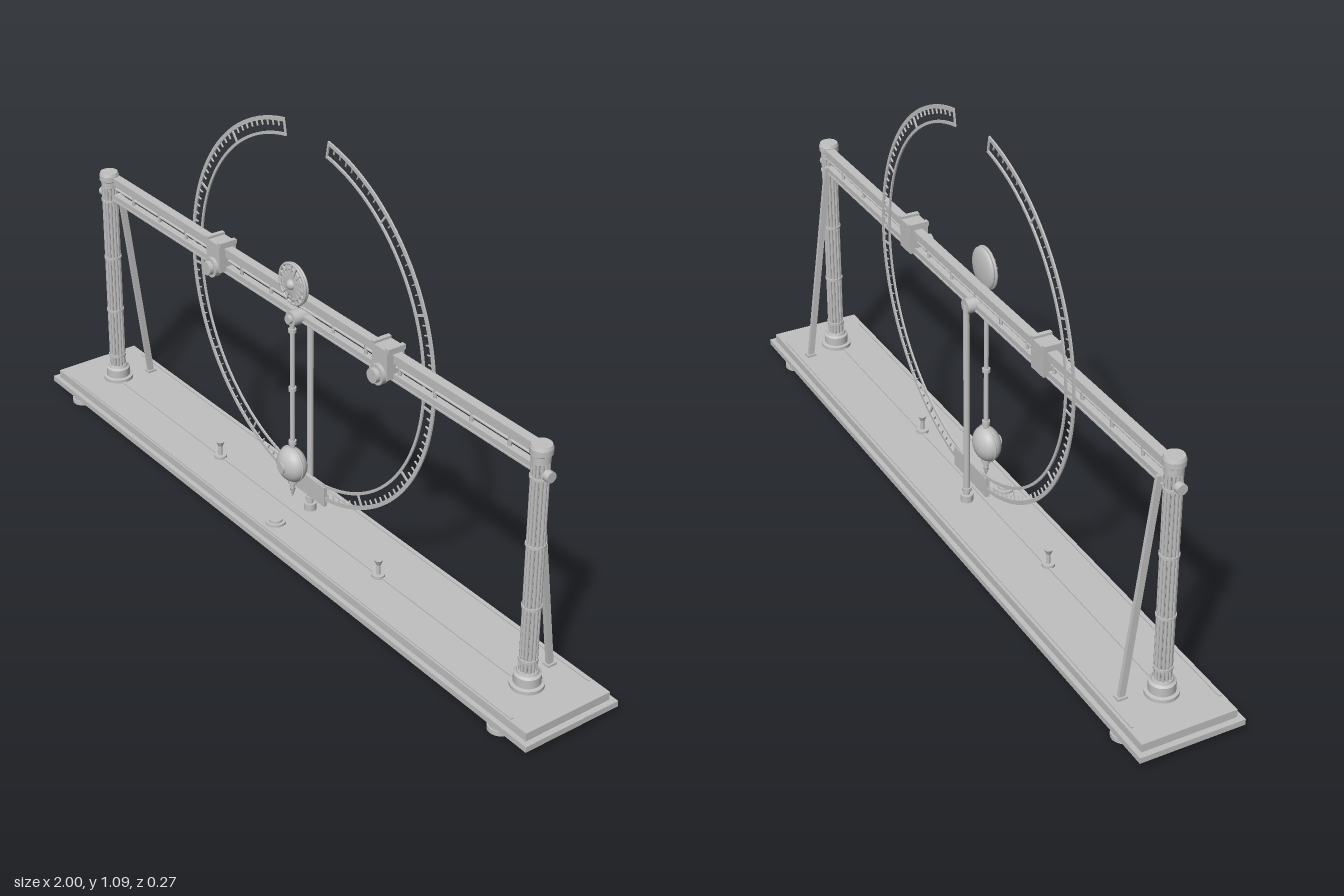
import * as THREE from 'three';

export function createModel() {
  const model = new THREE.Group();
  const metal = new THREE.MeshStandardMaterial({ color: 0xc0c0c0 });
  metal.name = 'brushed grey';

  const add = (name, geo, x = 0, y = 0, z = 0, parent = model) => {
    const m = new THREE.Mesh(geo, metal);
    m.name = name;
    m.position.set(x, y, z);
    parent.add(m);
    return m;
  };
  const box = (name, w, h, d, x, y, z, parent) => add(name, new THREE.BoxGeometry(w, h, d), x, y, z, parent);
  // Upright cylinder between two heights
  const post = (name, r, y0, y1, x, z, parent, seg = 24) =>
    add(name, new THREE.CylinderGeometry(r, r, y1 - y0, seg), x, (y0 + y1) / 2, z, parent);
  // Cylinder along z
  const disc = (name, r, z0, z1, x, y, parent) =>
    add(name, new THREE.CylinderGeometry(r, r, z1 - z0, 32).rotateX(Math.PI / 2), x, y, (z0 + z1) / 2, parent);
  // Cylinder along x
  const bar = (name, r, x0, x1, y, z, parent) =>
    add(name, new THREE.CylinderGeometry(r, r, x1 - x0, 16).rotateZ(Math.PI / 2), (x0 + x1) / 2, y, z, parent);

  // Stepped base with four feet
  box('basePlate', 2, 0.015, 0.27, 0, 0.0275, 0);
  box('plinth', 1.97, 0.021, 0.245, 0, 0.0455, 0);
  box('frontStrip', 1.86, 0.004, 0.008, 0, 0.057, 0.114);
  box('rearStrip', 1.86, 0.004, 0.006, 0, 0.057, -0.112);
  box('baseRail', 1.72, 0.004, 0.008, 0, 0.057, 0.015);
  for (const x of [-0.885, 0.885]) for (const z of [-0.105, 0.107]) {
    post('foot', 0.03, 0, 0.012, x, z);
    post('footCollar', 0.026, 0.012, 0.021, x, z);
  }

  // Fluted columns with rear struts
  for (const side of [-1, 1]) {
    const column = new THREE.Group();
    column.name = side > 0 ? 'leftColumn' : 'rightColumn';
    column.position.set(side * 0.857, 0, 0.008);
    model.add(column);
    const profile = [[0, 0.056], [0.04, 0.056], [0.04, 0.065], [0.032, 0.067], [0.032, 0.09], [0.026, 0.094],
      [0.024, 0.1], [0.017, 0.1], [0.017, 0.635], [0.022, 0.638], [0.022, 0.655], [0.026, 0.658],
      [0.026, 0.672], [0.023, 0.68], [0, 0.68]];
    // Each profile segment is its own band, so its edges stay crisp
    for (let i = 1; i < profile.length; i++)
      add('columnShaft', new THREE.LatheGeometry([profile[i - 1], profile[i]].map(p => new THREE.Vector2(...p)), 32), 0, 0, 0, column);
    for (let i = 0; i < 12; i++) {
      const a = i * Math.PI / 6;
      post('flute', 0.0042, 0.1, 0.637, 0.0175 * Math.cos(a), 0.0175 * Math.sin(a), column, 8);
    }
    for (const y of [0.13, 0.27, 0.43, 0.6]) post('columnRing', 0.0235, y - 0.003, y + 0.003, 0, 0, column);

    const top = new THREE.Vector3(side * 0.832, 0.62, -0.01), foot = new THREE.Vector3(side * 0.832, 0.056, -0.082);
    const strut = box('rearStrut', 0.01, top.distanceTo(foot), 0.016, 0, 0, 0);
    strut.position.copy(top).add(foot).multiplyScalar(0.5);
    strut.rotation.x = Math.atan2(top.z - foot.z, top.y - foot.y);
    box('strutFoot', 0.02, 0.006, 0.026, side * 0.832, 0.059, -0.082);
    bar('railEnd', 0.013, side * 0.885 - 0.008, side * 0.885 + 0.008, 0.613, 0.008);
  }

  // Cross beam: two rails, a thin middle rod and short uprights
  box('upperRail', 1.7, 0.02, 0.018, 0, 0.656, 0);
  box('upperRailLip', 1.7, 0.006, 0.024, 0, 0.667, 0);
  bar('middleRod', 0.0035, -0.85, 0.85, 0.634, 0);
  box('lowerRail', 1.7, 0.014, 0.018, 0, 0.612, 0);
  box('lowerRailLip', 1.7, 0.004, 0.024, 0, 0.604, 0);
  for (let i = -6; i <= 6; i++) post('beamUpright', 0.0045, 0.615, 0.65, i * 0.125, 0, model, 10);

  // Sliding clamps and the pegs under them
  for (const x of [-0.335, 0.335]) {
    box('clampBody', 0.056, 0.075, 0.05, x, 0.644, 0.003);
    for (const s of [-1, 1]) box('clampLug', 0.012, 0.012, 0.05, x + s * 0.026, 0.682, 0.003);
    disc('clampKnob', 0.026, 0.02, 0.038, x, 0.615);
    disc('clampKnobCap', 0.018, 0.038, 0.05, x, 0.615);
    post('pegFoot', 0.016, 0.056, 0.064, x, 0.018);
    post('pegStem', 0.005, 0.064, 0.092, x, 0.018);
    add('pegCap', new THREE.CylinderGeometry(0.012, 0.006, 0.014, 20), x, 0.098, 0.018);
  }

  // Open graduated ring with a gap at the top
  const ring = new THREE.Group();
  ring.name = 'graduatedRing';
  ring.position.set(0, 0.607, -0.012);
  model.add(ring);
  const gap = 0.176, start = Math.PI / 2 + gap, sweep = Math.PI * 2 - gap * 2;
  const band = (name, r0, r1) => {
    const s = new THREE.Shape();
    s.absarc(0, 0, r1, start, start + sweep, false);
    s.absarc(0, 0, r0, start + sweep, start, true);
    add(name, new THREE.ExtrudeGeometry(s, { depth: 0.004, bevelEnabled: false, curveSegments: 96 }), 0, 0, -0.002, ring);
  };
  band('outerBand', 0.477, 0.487);
  band('innerBand', 0.443, 0.45);
  for (let i = 0; i <= 120; i++) {
    const long = i % 10 === 0, r0 = long ? 0.445 : 0.465, a = start + 0.004 + (sweep - 0.008) * i / 120;
    const r = (r0 + 0.479) / 2;
    box(long ? 'ringSpoke' : 'ringTick', 0.479 - r0, long ? 0.005 : 0.0025, 0.0036,
      r * Math.cos(a), r * Math.sin(a), 0, ring).rotation.z = a;
  }
  box('ringPlate', 0.166, 0.055, 0.01, 0, 0.138, -0.012);

  // Central support post behind the pendulum
  post('supportPost', 0.008, 0.06, 0.615, 0, -0.026);
  post('supportFoot', 0.016, 0.056, 0.075, 0, -0.026);
  post('supportCollar', 0.012, 0.085, 0.095, 0, -0.026);

  // Ornate dial: domed back, ringed face
  const dial = new THREE.Group();
  dial.name = 'dial';
  dial.position.set(0, 0.703, 0.02);
  model.add(dial);
  add('dialBack', new THREE.SphereGeometry(0.053, 32, 20).scale(1, 1, 0.24), 0, 0, 0, dial);
  for (const r of [0.051, 0.038, 0.025])
    add('dialRing', new THREE.TorusGeometry(r, 0.0038, 8, 48), 0, 0, 0.007, dial);
  for (let i = 0; i < 16; i++) {
    const a = i * Math.PI / 8;
    box('dialRay', 0.03, 0.0035, 0.006, 0.036 * Math.cos(a), 0.036 * Math.sin(a), 0.009, dial).rotation.z = a;
  }
  add('dialHub', new THREE.SphereGeometry(0.014, 20, 12), 0, 0, 0.009, dial);

  // Pendulum: pivot, rod, collars and bob
  disc('pivot', 0.019, -0.03, 0.034, 0, 0.612);
  disc('pivotCap', 0.011, 0.034, 0.043, 0, 0.612);
  post('pendulumRod', 0.006, 0.13, 0.612, 0, 0.028);
  for (const y of [0.58, 0.42, 0.27]) post('rodCollar', 0.01, y - 0.005, y + 0.005, 0, 0.028);
  add('bob', new THREE.SphereGeometry(0.046, 40, 28).scale(1, 1, 0.72), 0, 0.208, 0.03);
  add('bobBand', new THREE.TorusGeometry(0.045, 0.003, 8, 48), 0, 0.208, 0.03);
  disc('bobBoss', 0.014, 0.056, 0.066, 0, 0.208);
  post('bobNut', 0.011, 0.152, 0.166, 0, 0.028);
  add('pointer', new THREE.ConeGeometry(0.008, 0.03, 16).rotateX(Math.PI), 0, 0.125, 0.028);

  // Small level set into the base
  post('level', 0.026, 0.056, 0.062, 0, 0.08);
  post('levelCap', 0.017, 0.062, 0.067, 0, 0.08);

  return model;
}
